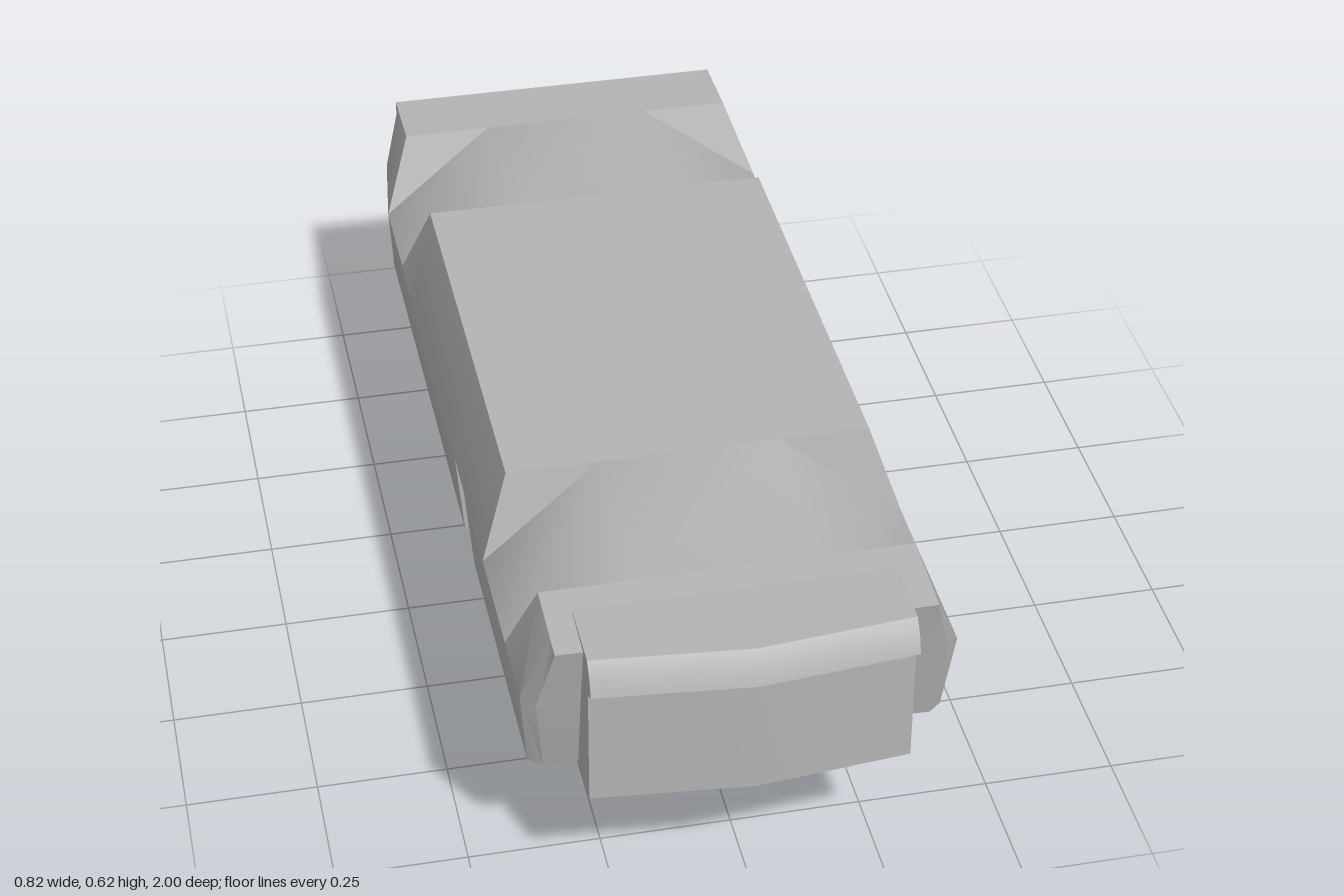
import * as THREE from 'three';
import { toCreasedNormals } from 'three/addons/utils/BufferGeometryUtils.js';

// Skin a list of rings; point j of a ring pairs with point n-1-j to close the ends
function skin(rings) {
  const pos = [];
  const a = new THREE.Vector3(), b = new THREE.Vector3(), c = new THREE.Vector3();
  const tri = (p, q, r) => {
    a.fromArray(p); b.fromArray(q).sub(a); c.fromArray(r).sub(a);
    if (b.cross(c).length() > 1e-6) pos.push(...p, ...q, ...r);
  };
  const quad = (p, q, r, s) => { tri(p, q, r); tri(p, r, s); };
  const n = rings[0].length;
  for (let i = 0; i < rings.length - 1; i++) {
    for (let j = 0; j < n; j++) {
      const k = (j + 1) % n;
      quad(rings[i][j], rings[i][k], rings[i + 1][k], rings[i + 1][j]);
    }
  }
  const first = rings[0], last = rings[rings.length - 1];
  for (let j = 0; j < n / 2 - 1; j++) {
    quad(first[j], first[n - 1 - j], first[n - 2 - j], first[j + 1]);
    quad(last[j], last[j + 1], last[n - 2 - j], last[n - 1 - j]);
  }
  const g = new THREE.BufferGeometry();
  g.setAttribute('position', new THREE.Float32BufferAttribute(pos, 3));
  return toCreasedNormals(g, 0.75);
}

const FLOOR_X = 0.345, ARCH_X = 0.17, BELT_X = 0.4, BELT_Y = 0.46, SILL_X = 0.385, SILL_Y = 0.285;

// The floor (uppermost, as the shell lies roof down) falls away beyond the arches
const floorY = (z) => 0.623 - 0.066 * Math.max(0, z - 0.41) - 0.045 * Math.max(0, -z - 0.49);

// Flat underside at sill height, with the sill at a given half-width
const flat = (sillX) => [[sillX, SILL_Y], [0.25, SILL_Y], [0.2, SILL_Y]];

// Cabin or boot underside reaching down to roofY, narrowing with depth
function roof(roofY) {
  const y = Math.min(roofY + 0.035, SILL_Y);
  return [[SILL_X, SILL_Y], [0.27 + 0.45 * (y - 0.04), y], [0.235, roofY]];
}

// Mirrored ring: floor edge, belt, then the three lower points; the belt and sill may shift in z
function section(z, lower, { floorX = FLOOR_X, beltX = BELT_X, beltShift = 0, sillShift = 0 } = {}) {
  const half = [[floorX, floorY(z), z], [beltX, BELT_Y, z + beltShift]];
  lower.forEach(([x, y]) => half.push([x, y, z + sillShift]));
  return [...half, ...half.map(([x, y, w]) => [-x, y, w]).reverse()];
}

// Wheel arch: the floor edge jumps inwards between two slanted end walls
function arch(zFront, zRear, slant, lowerFront, lowerRear) {
  const front = { beltShift: -slant }, rear = { beltShift: slant };
  return [
    section(zFront, lowerFront, front),
    section(zFront, lowerFront, { ...front, floorX: ARCH_X }),
    section(zRear, lowerRear, { ...rear, floorX: ARCH_X }),
    section(zRear, lowerRear, rear),
  ];
}

// Ring for parts that run across x: face points [z, y] from top to bottom, closed by a flat back
const crossRing = (x, face, backZ) => [
  ...face.map(([z, y]) => [x, y, z]),
  ...face.map(([, y]) => [x, y, backZ]).reverse(),
];

export function createModel() {
  const group = new THREE.Group();
  group.name = 'carShell';
  const paint = new THREE.MeshStandardMaterial({ color: 0xb4b4b4 });
  paint.name = 'plain grey';
  // The single mirror makes the width uneven, so the shell sits slightly off centre
  const add = (name, geometry, x = 0, y = 0, z = 0) => {
    const m = new THREE.Mesh(geometry, paint);
    m.name = name;
    m.position.set(x - 0.01, y, z);
    group.add(m);
  };

  // Main shell from front to back: fenders, arch, gap behind the fender, cabin, arch, tail
  const hood = flat(SILL_X), gap = flat(0.28);
  const cabin = [[0.13, 0.27], [0.09, 0.035], [0.05, 0.001], [-0.17, 0.008], [-0.23, 0.04], [-0.4, 0.19]];
  add('bodyShell', skin([
    section(0.905, flat(0.36), { beltX: 0.375, beltShift: -0.03, sillShift: -0.065 }),
    section(0.86, hood, { beltShift: -0.01, sillShift: -0.04 }),
    ...arch(0.74, 0.41, 0.045, hood, hood),
    section(0.24, hood),
    section(0.24, gap),
    section(0.13, gap),
    ...cabin.map(([z, y]) => section(z, roof(y))),
    ...arch(-0.495, -0.83, 0.065, roof(0.192), roof(0.2)),
    section(-0.96, [[0.355, SILL_Y], [0.28, 0.235], [0.2, 0.21]], { beltX: 0.375 }),
  ]));

  // Bumper lip across the tail
  const lip = [[-0.985, 0.602], [-0.988, 0.53], [-0.965, 0.515]];
  add('rearBumper', skin([FLOOR_X, -FLOOR_X].map((x) => crossRing(x, lip, -0.93))));

  // Lower tail panel, swelling towards the centre
  add('tailPanel', skin([0.3, 0.2, 0, -0.2, -0.3].map((x) => {
    const s = 1 - Math.abs(x) / 0.3;
    const face = [[-0.955, 0.515], [-0.97, 0.4], [-0.985 - 0.015 * s, 0.29], [-0.955, 0.25 - 0.04 * s]];
    return crossRing(x, face, -0.92);
  })));

  // Nose with a bowed grille face and an overhanging bumper
  const noseFace = [[0.94, 0.6], [0.96, 0.575], [0.972, 0.54], [0.955, 0.53], [0.945, 0.525], [0.945, SILL_Y]];
  add('noseAndBumper', skin([-0.295, -0.2, -0.1, 0, 0.1, 0.2, 0.295].map((x) => {
    const bow = 0.028 * (1 - Math.abs(x) / 0.295);
    return crossRing(x, noseFace.map(([z, y]) => [z + bow, y]), 0.8);
  })));

  // Small fittings: plate lamp and door mirror
  add('plateLamp', new THREE.BoxGeometry(0.09, 0.02, 0.015), 0, 0.535, -0.99);
  add('doorMirror', new THREE.BoxGeometry(0.05, 0.038, 0.014), 0.395, 0.264, -0.242);

  return group;
}
